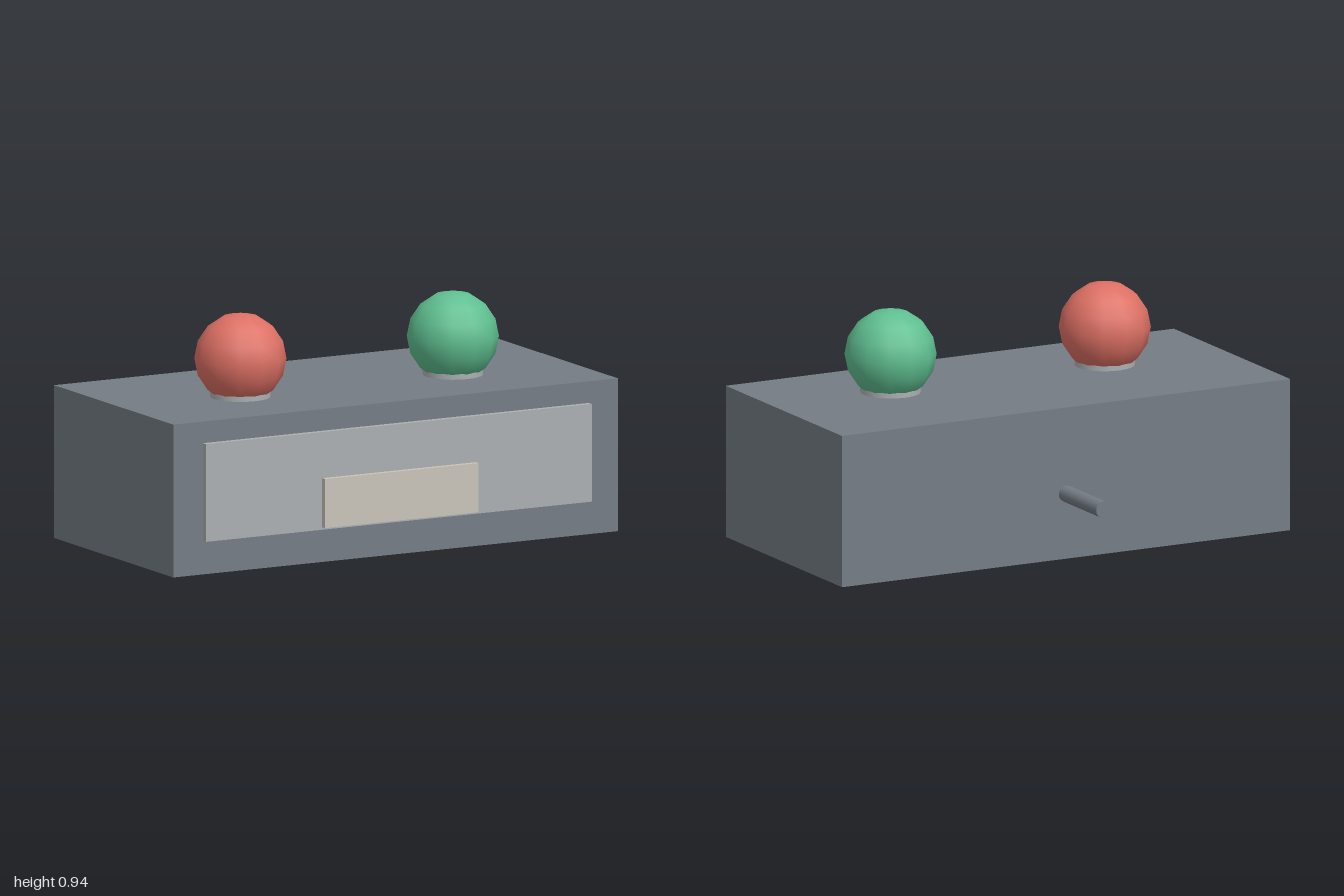
import * as THREE from 'three';

const paint = (name, color) => {
  const m = new THREE.MeshStandardMaterial({ color });
  m.name = name;
  return m;
};

export function createModel() {
  const model = new THREE.Group();
  model.name = 'signalBox';

  const slate = paint('slate grey', 0x747c85);
  const silver = paint('silver grey', 0xabafb1);
  const cream = paint('warm cream', 0xc9c4ba);
  const red = paint('lamp red', 0xdd7064);
  const green = paint('lamp green', 0x5fbf90);

  const add = (name, geometry, material, x, y, z) => {
    const mesh = new THREE.Mesh(geometry, material);
    mesh.name = name;
    mesh.position.set(x, y, z);
    model.add(mesh);
    return mesh;
  };

  // Housing with a raised front panel and a smaller plate on it
  add('housing', new THREE.BoxGeometry(2, 0.61, 0.957), slate, 0, 0.305, 0.13);
  add('frontPanel', new THREE.BoxGeometry(1.736, 0.39, 0.026), silver, 0, 0.329, 0.621);
  add('labelPlate', new THREE.BoxGeometry(0.69, 0.196, 0.022), cream, 0, 0.242, 0.645);

  // Round lamps, each sitting in a short collar
  for (const [side, x, color] of [['right', -0.478, red], ['left', 0.478, green]]) {
    add(side + 'Collar', new THREE.CylinderGeometry(0.119, 0.119, 0.03, 24), silver, x, 0.618, 0.215);
    add(side + 'Lamp', new THREE.SphereGeometry(0.181, 12, 8), color, x, 0.763, 0.215);
  }

  // Rod sticking out of the back
  const rod = add('rearRod', new THREE.CylinderGeometry(0.033, 0.033, 0.308, 16), slate, 0, 0.263, -0.502);
  rod.rotation.x = Math.PI / 2;

  return model;
}
